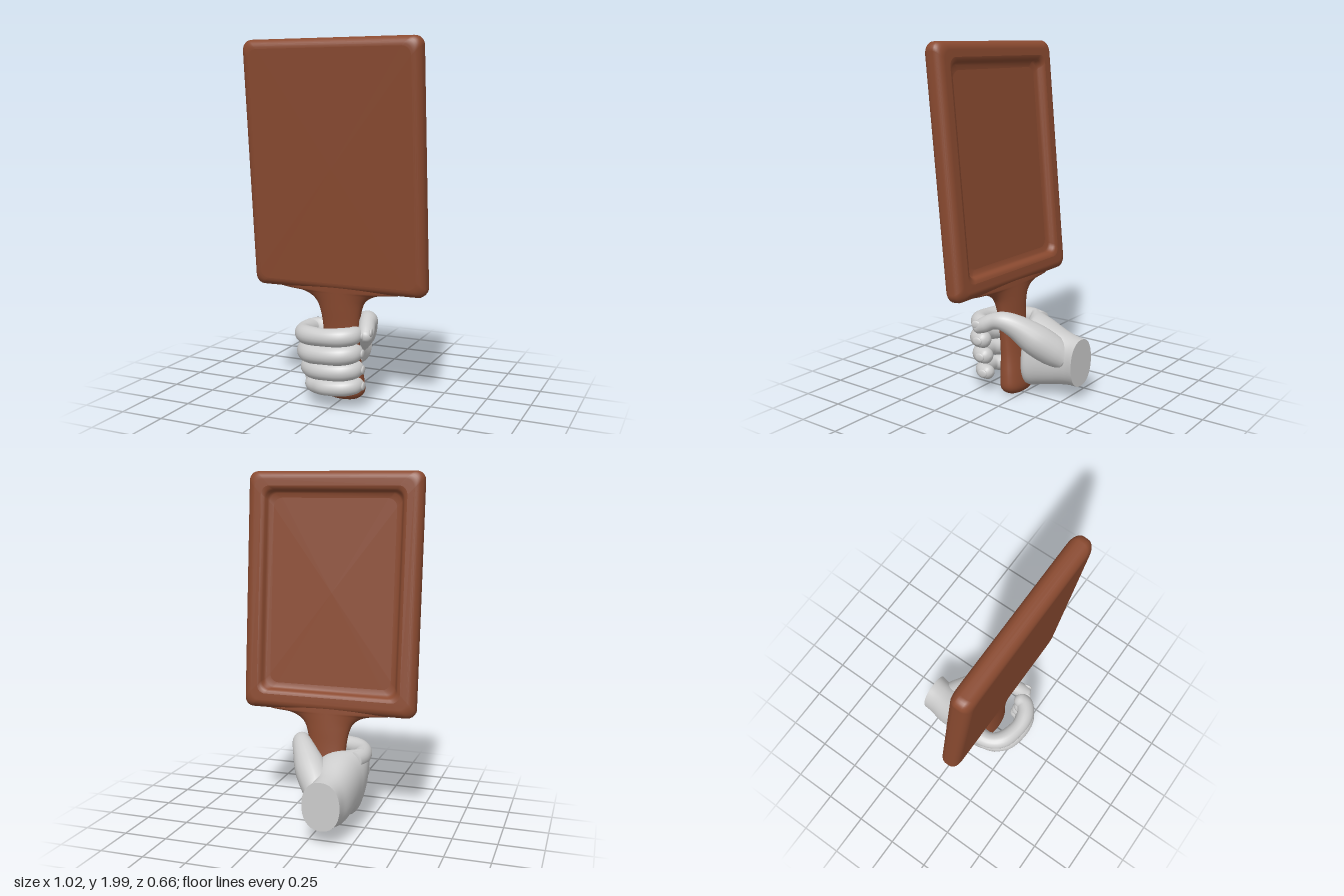
import * as THREE from 'three';

const wood = new THREE.MeshStandardMaterial({ color: 0x8a4a30 });
const grey = new THREE.MeshStandardMaterial({ color: 0xcccccc });
const TAU = Math.PI * 2;

// Catmull-Rom resampling of rows of numbers
function resample(rows, steps) {
  const out = [];
  const at = i => rows[Math.min(rows.length - 1, Math.max(0, i))];
  for (let i = 0; i < rows.length - 1; i++) {
    for (let s = 0; s < steps; s++) {
      const t = s / steps;
      out.push(at(i).map((b, k) => {
        const a = at(i - 1)[k], c = at(i + 1)[k], d = at(i + 2)[k];
        return b + 0.5 * t * (c - a + t * (2 * a - 5 * b + 4 * c - d + t * (3 * (b - c) + d - a)));
      }));
    }
  }
  out.push(at(rows.length - 1));
  return out;
}

// Skin closed rings (counter-clockwise about the direction of travel) and cap both ends.
// A ring given twice makes a sharp edge.
function loft(rings) {
  const n = rings[0].length, pos = [], idx = [];
  rings.forEach(r => r.forEach(p => pos.push(p.x, p.y, p.z)));
  for (let j = 0; j < rings.length - 1; j++) {
    for (let i = 0; i < n; i++) {
      const a = j * n + i, b = j * n + (i + 1) % n;
      idx.push(a, b, a + n, b, b + n, a + n);
    }
  }
  [0, rings.length - 1].forEach(j => {
    const c = new THREE.Vector3();
    rings[j].forEach(p => c.addScaledVector(p, 1 / n));
    const m = pos.length / 3;
    pos.push(c.x, c.y, c.z);
    for (let i = 0; i < n; i++) {
      const a = j * n + i, b = j * n + (i + 1) % n;
      if (j === 0) idx.push(m, b, a); else idx.push(m, a, b);
    }
  });
  const g = new THREE.BufferGeometry();
  g.setAttribute('position', new THREE.Float32BufferAttribute(pos, 3));
  g.setIndex(idx);
  g.computeVertexNormals();
  return g;
}

const circle = (n, fn) => Array.from({ length: n }, (_, i) => fn(i / n * TAU));
const power = (v, e) => Math.sign(v) * Math.abs(v) ** e;

// Round tube of varying radius with domed ends; rows are [x, y, z, radius]
function limb(rows) {
  const s = resample(rows, 6), up = new THREE.Vector3(0, 1, 0);
  const p = s.map(r => new THREE.Vector3(r[0], r[1], r[2]));
  const rings = [];
  const ring = (c, t, r) => {
    const u = up.clone().cross(t).normalize(), v = t.clone().cross(u);
    rings.push(circle(20, a => c.clone().addScaledVector(u, r * Math.cos(a)).addScaledVector(v, r * Math.sin(a))));
  };
  const last = p.length - 1;
  p.forEach((c, i) => {
    const t = p[Math.min(last, i + 1)].clone().sub(p[Math.max(0, i - 1)]).normalize();
    ring(c, t, s[i][3]);
    if (i === last) {
      for (let k = 1; k <= 6; k++) {
        const a = k / 6.2 * Math.PI / 2;
        ring(c.clone().addScaledVector(t, s[i][3] * 0.85 * Math.sin(a)), t, s[i][3] * Math.cos(a));
      }
    }
  });
  return loft(rings);
}

// Rounded rectangle ring of the panel, inset by d
function panelRing(d, z) {
  const w = 0.512 - d, h = 0.682 - d, r = 0.05, pts = [];
  [[1, 1], [-1, 1], [-1, -1], [1, -1]].forEach(([sx, sy], q) => {
    for (let i = 0; i <= 8; i++) {
      const a = (q + i / 8) * Math.PI / 2;
      pts.push(new THREE.Vector3(sx * (w - r) + r * Math.cos(a), 1.322 + sy * (h - r) + r * Math.sin(a), z));
    }
  });
  return pts;
}

function panelGeometry() {
  const T = 0.057, R = 0.048, floor = -0.012;
  const rings = [[0.15, floor], [0.15, floor], [0.125, floor - 0.004], [0.115, floor - 0.013],
    [0.109, -0.042], [0.1, -0.053], [0.085, -T], [0.085, -T]].map(r => panelRing(...r));
  // rounded outer edge
  for (let k = 0; k <= 16; k++) {
    const a = k / 16 * Math.PI;
    rings.push(panelRing(R * (1 - Math.sin(a)), -Math.cos(a) * R + (k < 8 ? -1 : k > 8 ? 1 : 0) * (T - R)));
  }
  rings.push(panelRing(R, T));
  return loft(rings);
}

export function createModel() {
  const model = new THREE.Group();
  const add = (parent, geometry, material, name) => {
    const m = new THREE.Mesh(geometry, material);
    m.name = name;
    parent.add(m);
    return m;
  };

  // Paddle, leaning slightly forward
  const paddle = new THREE.Group();
  paddle.name = 'paddle';
  paddle.position.z = 0.045;
  paddle.rotation.x = 0.09;
  model.add(paddle);
  add(paddle, panelGeometry(), wood, 'panel');

  // Handle with pommel and flared neck: height, half width, half depth
  const handle = resample([[0.004, 0.05, 0.025], [0.014, 0.09, 0.05], [0.05, 0.124, 0.068], [0.12, 0.122, 0.068],
    [0.25, 0.106, 0.058], [0.42, 0.108, 0.05], [0.53, 0.125, 0.05], [0.59, 0.16, 0.05],
    [0.625, 0.235, 0.05], [0.642, 0.37, 0.05], [0.69, 0.4, 0.05]], 5);
  add(paddle, loft(handle.map(([y, rx, rz]) =>
    circle(40, a => new THREE.Vector3(rx * Math.cos(a), y, -rz * power(Math.sin(a), 0.8))))), wood, 'handle');

  const hand = new THREE.Group();
  hand.name = 'hand';
  model.add(hand);

  // Wrist and palm: z, centre x, centre y, half width, half height
  const palm = resample([[-0.325, -0.092, 0.223, 0.108, 0.137], [-0.27, -0.1, 0.223, 0.105, 0.142],
    [-0.2, -0.105, 0.225, 0.115, 0.156], [-0.1, -0.09, 0.24, 0.14, 0.185], [-0.03, -0.085, 0.245, 0.15, 0.2],
    [0.02, -0.12, 0.245, 0.12, 0.2], [0.07, -0.168, 0.245, 0.07, 0.2], [0.14, -0.17, 0.25, 0.055, 0.19],
    [0.2, -0.16, 0.25, 0.03, 0.17]], 5);
  const palmRings = palm.map(([z, cx, cy, rx, ry]) => circle(40, a => {
    const y = cy + ry * power(Math.sin(a), 0.9);
    const lean = -0.16 * (y - 0.25) * THREE.MathUtils.smoothstep(z, -0.2, 0.05);
    return new THREE.Vector3(cx + rx * power(Math.cos(a), 0.9) + lean, y, z);
  }));
  palmRings.unshift(palmRings[0].map(p => p.clone()));
  add(hand, loft(palmRings), grey, 'palm');

  const nail = (x, y, z, turn, name) => {
    const m = add(hand, new THREE.SphereGeometry(1, 16, 10), grey, name);
    m.scale.set(0.009, 0.024, 0.03);
    m.position.set(x, y, z);
    m.rotation.y = turn;
  };

  // Fingers curled round the front: height, knuckle x, front z, radius
  [['index', 0.4, -0.2, 0.275, 0.05], ['middle', 0.302, -0.185, 0.28, 0.052],
    ['ring', 0.208, -0.165, 0.265, 0.05], ['little', 0.112, -0.145, 0.25, 0.044]].forEach(([name, y, kx, fz, r]) => {
    add(hand, limb([[kx + 0.02, y - 0.01, 0.0, r], [kx, y - 0.008, 0.09, r * 1.04], [kx + 0.012, y - 0.004, 0.18, r * 0.98],
      [kx + 0.07, y, fz - 0.03, r * 1.05], [-0.02, y + 0.006, fz, r * 0.97], [0.065, y + 0.011, fz - 0.01, r * 1.03],
      [0.118, y + 0.015, fz - 0.045, r], [0.13, y + 0.016, fz - 0.085, r * 0.93]]), grey, name + 'Finger');
    nail(0.13 + r * 0.93, y + 0.017, fz - 0.075, 0.12, name + 'Nail');
  });

  // Thumb arching over the open side of the handle
  add(hand, limb([[-0.06, 0.24, -0.24, 0.07], [-0.025, 0.285, -0.18, 0.088], [0.04, 0.355, -0.1, 0.09],
    [0.1, 0.425, -0.025, 0.07], [0.142, 0.46, 0.04, 0.055], [0.162, 0.455, 0.1, 0.046],
    [0.178, 0.43, 0.15, 0.045], [0.188, 0.412, 0.185, 0.038]]), grey, 'thumb');
  nail(0.218, 0.434, 0.178, 0.2, 'thumbNail');

  return model;
}
